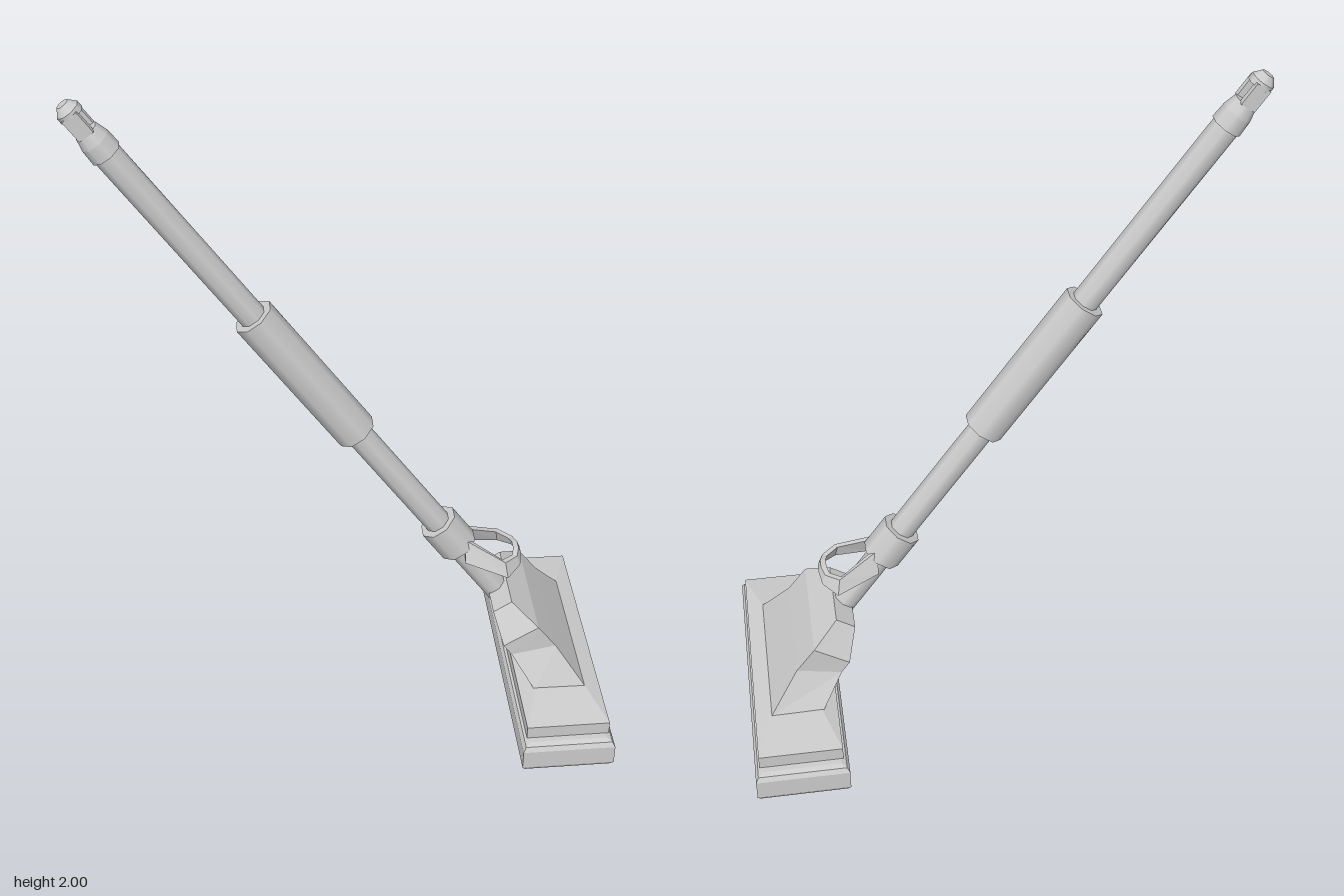
import * as THREE from 'three';

const grey = new THREE.MeshStandardMaterial({ color: 0xcccccc });

function add(parent, name, geometry) {
  const mesh = new THREE.Mesh(geometry, grey);
  mesh.name = name;
  parent.add(mesh);
  return mesh;
}

// Skin a list of equal rings (each counter-clockwise about the loft direction), with end caps
function loft(rings) {
  const n = rings[0].length, index = [], last = (rings.length - 1) * n;
  for (let r = 0; r < rings.length - 1; r++) {
    for (let i = 0; i < n; i++) {
      const a = r * n + i, b = r * n + (i + 1) % n;
      index.push(a, b, b + n, a, b + n, a + n);
    }
  }
  for (let i = 1; i < n - 1; i++) index.push(0, i + 1, i, last, last + i, last + i + 1);
  const g = new THREE.BufferGeometry();
  g.setAttribute('position', new THREE.Float32BufferAttribute(rings.flat(2), 3));
  g.setIndex(index);
  const flat = g.toNonIndexed();
  flat.computeVertexNormals();
  return flat;
}

// Four-cornered ring from a back point, a front point and a half width
const slice = (x0, y0, x1, y1, w) => [[x0, y0, w], [x1, y1, w], [x1, y1, -w], [x0, y0, -w]];

// Eight-sided tapered tube along y, flats facing the sides
function octagon(rBottom, rTop, y0, y1) {
  const k = 1 / Math.cos(Math.PI / 8);
  const g = new THREE.CylinderGeometry(rTop * k, rBottom * k, y1 - y0, 8);
  return g.rotateY(Math.PI / 8).translate(0, (y0 + y1) / 2, 0);
}

export function createModel() {
  const model = new THREE.Group();
  model.name = 'mop';

  // Head: rounded pad and stepped plate with a shallow sloping top
  const pad = [[0, 0.022], [0.006, 0.008], [0.02, 0], [0.08, 0], [0.094, 0.008], [0.1, 0.022]];
  add(model, 'pad', loft(pad.map(([y, d]) => slice(0.46 + d, y, 0.73 - d, y, 0.42 - d))));
  add(model, 'plate', loft([
    slice(0.475, 0.1, 0.717, 0.1, 0.38),
    slice(0.475, 0.14, 0.717, 0.14, 0.38),
    slice(0.52, 0.157, 0.67, 0.157, 0.24),
  ]));

  // Leaning bracket between head and pole
  add(model, 'bracket', loft([
    slice(0.52, 0.15, 0.67, 0.155, 0.238),
    slice(0.455, 0.245, 0.585, 0.27, 0.178),
    slice(0.43, 0.28, 0.53, 0.343, 0.177),
    slice(0.405, 0.36, 0.458, 0.395, 0.115),
  ]));

  // Slanted pole with everything threaded on it
  const handle = new THREE.Group();
  handle.name = 'handle';
  handle.position.set(0.01, 0.96, 0);
  handle.rotation.z = 0.61;
  model.add(handle);
  add(handle, 'pole', octagon(0.035, 0.035, -0.76, 1.12));
  add(handle, 'grip', octagon(0.055, 0.055, 0, 0.482));
  add(handle, 'collar', octagon(0.055, 0.055, -0.525, -0.415));

  // End cap with a slot for hanging
  add(handle, 'capSleeve', octagon(0.04, 0.038, 1.09, 1.135));
  add(handle, 'capNeck', octagon(0.038, 0.03, 1.135, 1.17));
  for (const side of [-1, 1]) {
    const prong = new THREE.BoxGeometry(0.045, 0.066, 0.016).translate(0, 1.199, side * 0.023);
    add(handle, 'capProng', prong);
  }
  add(handle, 'capHead', octagon(0.031, 0.031, 1.222, 1.24));
  add(handle, 'capTip', octagon(0.031, 0.016, 1.24, 1.26));

  // Splayed release loop: half path of x, y, z, height, outward x, outward z; then mirrored
  const half = [
    [0.325, 0.54, 0.04, 0.065, 0, 1],
    [0.44, 0.493, 0.08, 0.045, 0.4, 0.9],
    [0.477, 0.497, 0.045, 0.028, 0.85, 0.5],
    [0.484, 0.507, 0.015, 0.02, 1, 0],
  ];
  const path = [...half, ...half.map(([x, y, z, h, nx, nz]) => [x, y, -z, h, nx, -nz]).reverse()];
  const rings = path.map(([x, y, z, h, nx, nz]) =>
    [[1, -1], [-1, -1], [-1, 1], [1, 1]].map(([n, v]) => {
      const d = 0.008 * n - 0.2 * h * v;
      return [x + nx * d, y + v * h / 2, z + nz * d];
    }));
  add(model, 'releaseLoop', loft(rings));

  return model;
}
